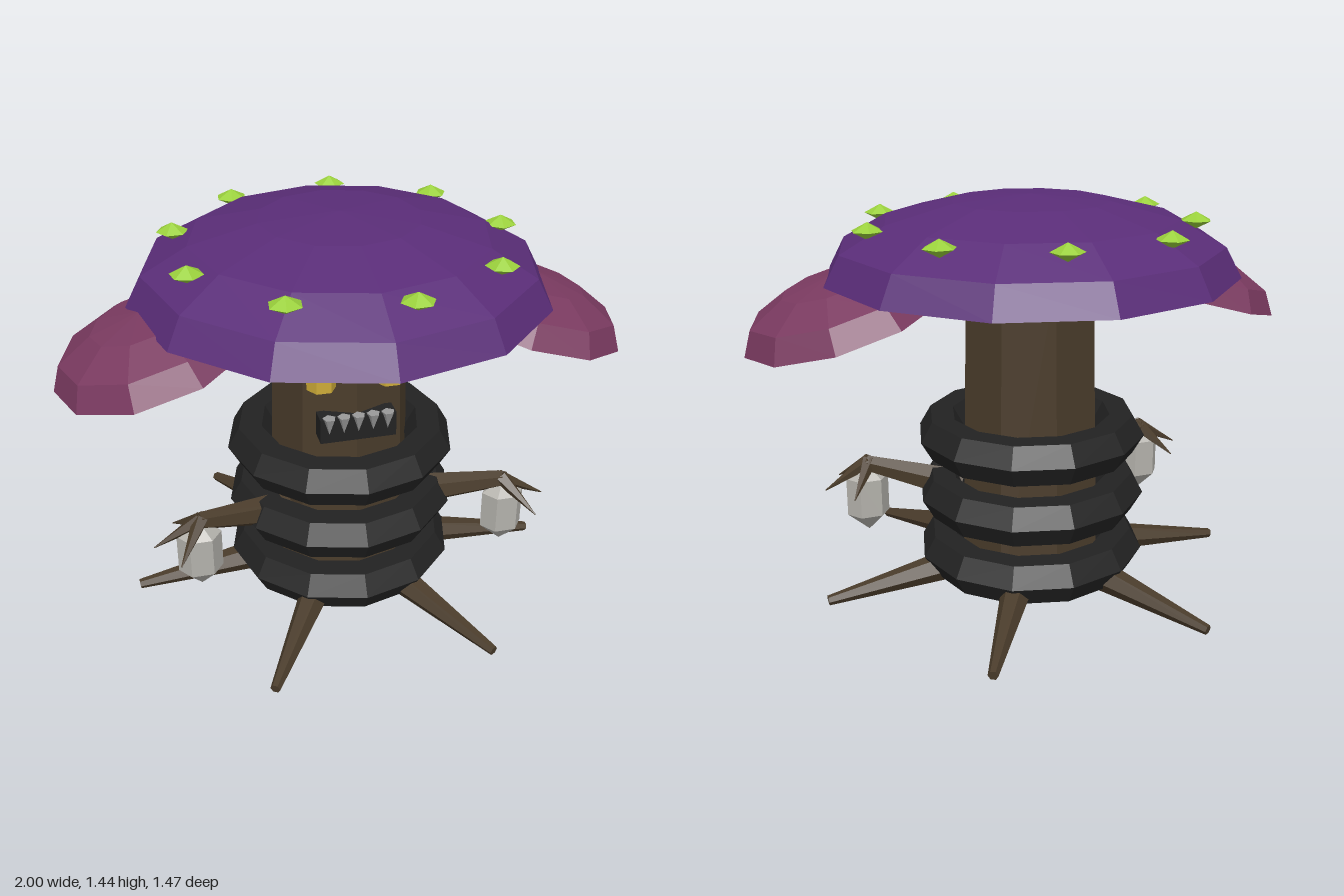
import * as THREE from 'three';

const mat = (name, color, extra = {}) =>
  Object.assign(new THREE.MeshStandardMaterial({ color, flatShading: true, ...extra }), { name });

export function createModel() {
  const model = new THREE.Group();
  model.name = 'mushroomStump';

  const bark = mat('bark', 0x4a3c2b);
  const purple = mat('purpleCap', 0x5a2d78, { side: THREE.DoubleSide });
  const plum = mat('plumCap', 0x7a3a60, { side: THREE.DoubleSide });
  const rubber = mat('blackRubber', 0x222222);
  const lime = mat('limeSpot', 0x9ad03c);
  const gold = mat('goldEye', 0xcdab38);
  const glass = mat('greyLantern', 0xb4b2ac);
  const tooth = mat('greyTooth', 0x999999);

  const add = (name, geometry, material, x = 0, y = 0, z = 0, parent = model) => {
    const mesh = new THREE.Mesh(geometry, material);
    mesh.name = name;
    mesh.position.set(x, y, z);
    parent.add(mesh);
    return mesh;
  };

  // Tapered limb between two points
  const up = new THREE.Vector3(0, 1, 0);
  const limb = (name, a, b, ra, rb, sides, material) => {
    const p = new THREE.Vector3(...a), q = new THREE.Vector3(...b);
    const d = q.clone().sub(p);
    const mesh = add(name, new THREE.CylinderGeometry(rb, ra, d.length(), sides), material);
    mesh.position.copy(p).add(q).multiplyScalar(0.5);
    mesh.quaternion.setFromUnitVectors(up, d.normalize());
    return mesh;
  };

  // Open flattened dome
  const dome = (r, h, sides, rings) =>
    new THREE.SphereGeometry(r, sides, rings, 0, Math.PI * 2, 0, Math.PI / 2).scale(1, h / r, 1);

  // Trunk
  add('trunk', new THREE.CylinderGeometry(0.24, 0.27, 1.18, 8), bark, 0, 0.61, 0);

  // Stacked tyre rings
  for (const y of [0.13, 0.355, 0.58]) {
    add('tyreRing', new THREE.TorusGeometry(0.335, 0.085, 6, 12).rotateX(Math.PI / 2), rubber, 0, y, 0);
  }

  // Six roots
  for (let i = 0; i < 6; i++) {
    const a = i * Math.PI / 3, c = Math.cos(a), s = Math.sin(a);
    limb('root', [0.27 * c, 0.095, 0.27 * s], [0.785 * c, 0.022, 0.785 * s], 0.06, 0.018, 6, bark);
  }

  // Main cap with nine spots
  add('mainCap', dome(0.737, 0.275, 12, 4), purple, 0, 1.175, 0);
  for (let i = 0; i < 9; i++) {
    const a = i * Math.PI * 2 / 9;
    const spot = add('capSpot', new THREE.SphereGeometry(0.057, 6, 2).scale(1, 0.53, 1), lime,
      0.58 * Math.cos(a), 1.355, 0.58 * Math.sin(a));
    spot.rotation.y = -a + 0.4;
  }

  for (const s of [1, -1]) {
    const side = s > 0 ? 'left' : 'right';

    // Side cap, tilted outward
    const cap = add(side + 'SideCap', dome(0.365, 0.163, 10, 3), plum, s * 0.65, 1.04, 0.09);
    cap.rotation.z = -s * 0.285;

    // Eye
    add(side + 'Eye', new THREE.SphereGeometry(0.06, 6, 3).scale(1, 0.8, 0.95), gold, s * 0.12, 0.93, 0.225);

    // Arm with drooping claws
    const wrist = [s * 0.57, 0.44, 0.235];
    limb(side + 'Arm', [s * 0.24, 0.355, 0.1], wrist, 0.065, 0.032, 6, bark);
    for (const a of [-1.05, 0, 1.05]) {
      limb(side + 'Claw', [s * 0.56, 0.445, 0.235],
        [s * (0.57 + 0.16 * Math.cos(a)), 0.352, 0.235 + 0.155 * Math.sin(a)], 0.03, 0.002, 5, bark);
    }

    // Hanging lantern
    const profile = [[0, 0.17], [0.08, 0.24], [0.08, 0.385], [0.03, 0.42], [0, 0.42]]
      .map(([r, y]) => new THREE.Vector2(r, y));
    add(side + 'Lantern', new THREE.LatheGeometry(profile, 6).rotateY(Math.PI / 6).scale(1, 1, 0.8),
      glass, s * 0.57, 0, 0.235);
  }

  // Mouth and teeth
  add('mouth', new THREE.BoxGeometry(0.27, 0.09, 0.07), rubber, 0, 0.76, 0.24);
  for (let i = -2; i <= 2; i++) {
    add('tooth', new THREE.ConeGeometry(0.024, 0.065, 5).rotateX(Math.PI), tooth, i * 0.052, 0.78, 0.275);
  }

  return model;
}
